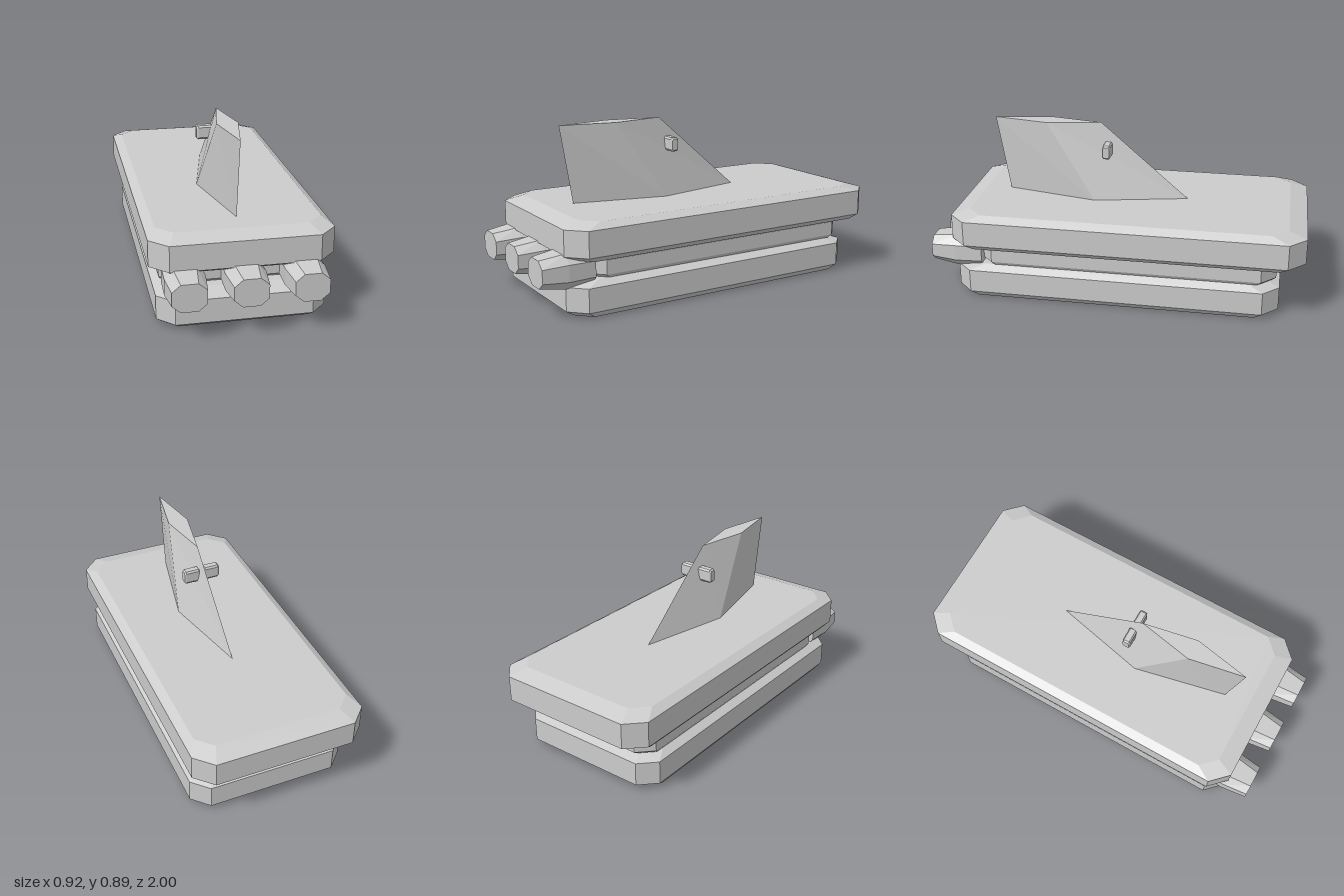
import * as THREE from 'three';

const hullGrey = new THREE.MeshStandardMaterial({ color: 0xcccccc });
hullGrey.name = 'hullGrey';

// Flat-faced solid through cross-sections stacked along +z (counter-clockwise seen from +z)
function loft(rings) {
  const n = rings[0].length, pos = [];
  const tri = (...corners) => corners.forEach((p) => pos.push(...p));
  for (let k = 0; k < rings.length - 1; k++) {
    for (let i = 0; i < n; i++) {
      const j = (i + 1) % n;
      const a = rings[k][i], b = rings[k][j], c = rings[k + 1][j], d = rings[k + 1][i];
      tri(a, b, d);
      tri(b, c, d);
    }
  }
  const first = rings[0], last = rings[rings.length - 1];
  for (let i = 1; i < n - 1; i++) {
    tri(first[0], first[i + 1], first[i]);
    tri(last[0], last[i], last[i + 1]);
  }
  const g = new THREE.BufferGeometry();
  g.setAttribute('position', new THREE.Float32BufferAttribute(pos, 3));
  g.computeVertexNormals();
  return g;
}

// Rectangle with cut corners, scaled by s, at height z
const cutRect = (w, h, cw, ch, z, s = 1) => [
  [w, -h + ch], [w, h - ch], [w - cw, h], [-w + cw, h],
  [-w, h - ch], [-w, -h + ch], [-w + cw, -h], [w - cw, -h],
].map(([x, y]) => [x * s, y * s, z]);

const diamond = (w, back, mid, front, z) => [[w, -mid, z], [0, -back, z], [-w, -mid, z], [0, -front, z]];

export function createModel() {
  const model = new THREE.Group();
  model.name = 'ship';

  const add = (name, geometry) => {
    const mesh = new THREE.Mesh(geometry, hullGrey);
    mesh.name = name;
    model.add(mesh);
    return mesh;
  };

  // Hull decks: [name, half width, front z, back z, corner cut, four heights, bottom scale, top scale]
  const decks = [
    ['lowerHull', 0.426, 0.863, -0.875, 0.084, [0, 0.03, 0.155, 0.183], 0.95, 0.9],
    ['middleHull', 0.395, 0.74, -0.855, 0.077, [0.183, 0.2, 0.275, 0.286], 0.976, 0.95],
    ['upperHull', 0.46, 0.88, -1, 0.09, [0.29, 0.317, 0.452, 0.48], 0.95, 0.9],
  ];
  for (const [name, w, front, back, cut, ys, sBottom, sTop] of decks) {
    const scales = [sBottom, 1, 1, sTop];
    const geometry = loft(ys.map((y, i) => cutRect(w, (front - back) / 2, cut, cut, y, scales[i])));
    add(name, geometry.rotateX(-Math.PI / 2).translate(0, 0, (front + back) / 2));
  }

  // Three tapered engine nozzles
  const nozzle = loft([
    cutRect(0.1, 0.089, 0.043, 0.046, 0.72, 0.95),
    cutRect(0.1, 0.089, 0.043, 0.046, 0.865),
    cutRect(0.085, 0.071, 0.043, 0.036, 1),
  ]);
  for (const x of [-0.295, 0, 0.295]) add('engineNozzle', nozzle).position.set(x, 0.238, 0);

  // Swept bridge tower with a diamond plan
  add('bridgeTower', loft([
    diamond(0.11, -0.35, 0.15, 0.65, 0.48),
    diamond(0.056, 0.13, 0.42, 0.72, 0.893),
  ]).rotateX(-Math.PI / 2));

  // Small bevelled pods on both sides of the tower
  for (const side of [-1, 1]) {
    const pod = loft([
      cutRect(0.022, 0.0375, 0.007, 0.01, -0.045, 0.8),
      cutRect(0.022, 0.0375, 0.007, 0.01, -0.036),
      cutRect(0.022, 0.0375, 0.007, 0.01, 0.036),
      cutRect(0.022, 0.0375, 0.007, 0.01, 0.045, 0.8),
    ]).rotateY(Math.PI / 2);
    add(side > 0 ? 'leftPod' : 'rightPod', pod).position.set(side * 0.055, 0.753, 0.087);
  }

  return model;
}
